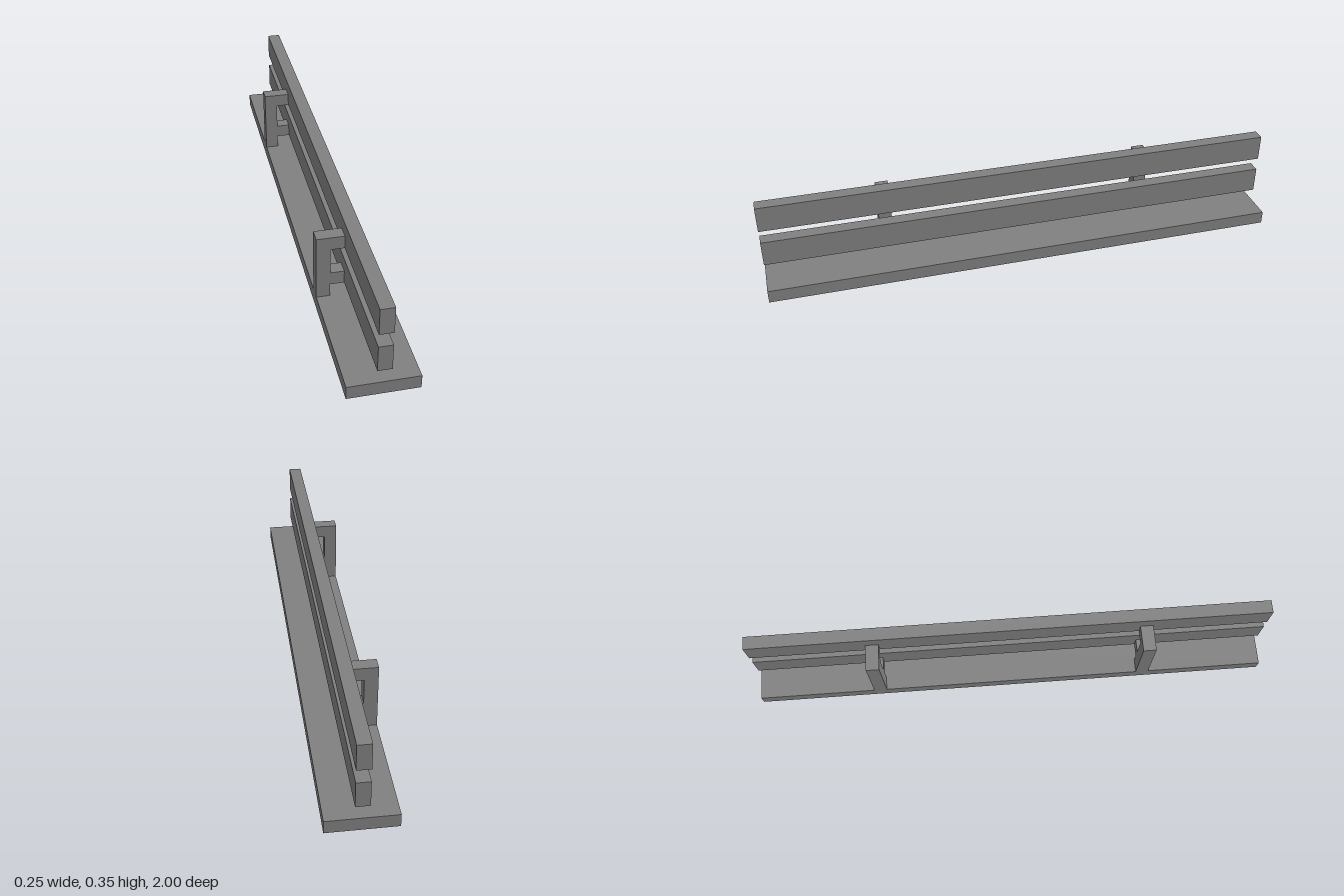
import * as THREE from 'three';

const LENGTH = 2;
const POST_DEPTH = 0.05;

export function createModel() {
  const group = new THREE.Group();
  const grey = new THREE.MeshStandardMaterial({ color: 0x808080 });
  grey.name = 'grey';

  const add = (name, geometry, x, y, z) => {
    const mesh = new THREE.Mesh(geometry, grey);
    mesh.name = name;
    mesh.position.set(x, y, z);
    group.add(mesh);
  };

  // Base slab and the two long rails
  add('base', new THREE.BoxGeometry(0.25, 0.05, LENGTH), 0, 0.025, 0);
  const rail = new THREE.BoxGeometry(0.05, 0.1, LENGTH);
  add('lowerRail', rail, 0, 0.15, 0);
  add('upperRail', rail, 0, 0.3, 0);

  // Bracket posts: an upright with two arms reaching to the rails
  const profile = new THREE.Shape([
    [-0.125, 0.05], [-0.075, 0.05], [-0.075, 0.1], [-0.025, 0.1],
    [-0.025, 0.15], [-0.075, 0.15], [-0.075, 0.25], [-0.025, 0.25],
    [-0.025, 0.3], [-0.125, 0.3],
  ].map(([x, y]) => new THREE.Vector2(x, y)));
  const bracket = new THREE.ExtrudeGeometry(profile, { depth: POST_DEPTH, bevelEnabled: false });
  bracket.translate(0, 0, -POST_DEPTH / 2);
  add('frontBracket', bracket, 0, 0, 0.525);
  add('backBracket', bracket, 0, 0, -0.525);

  return group;
}
